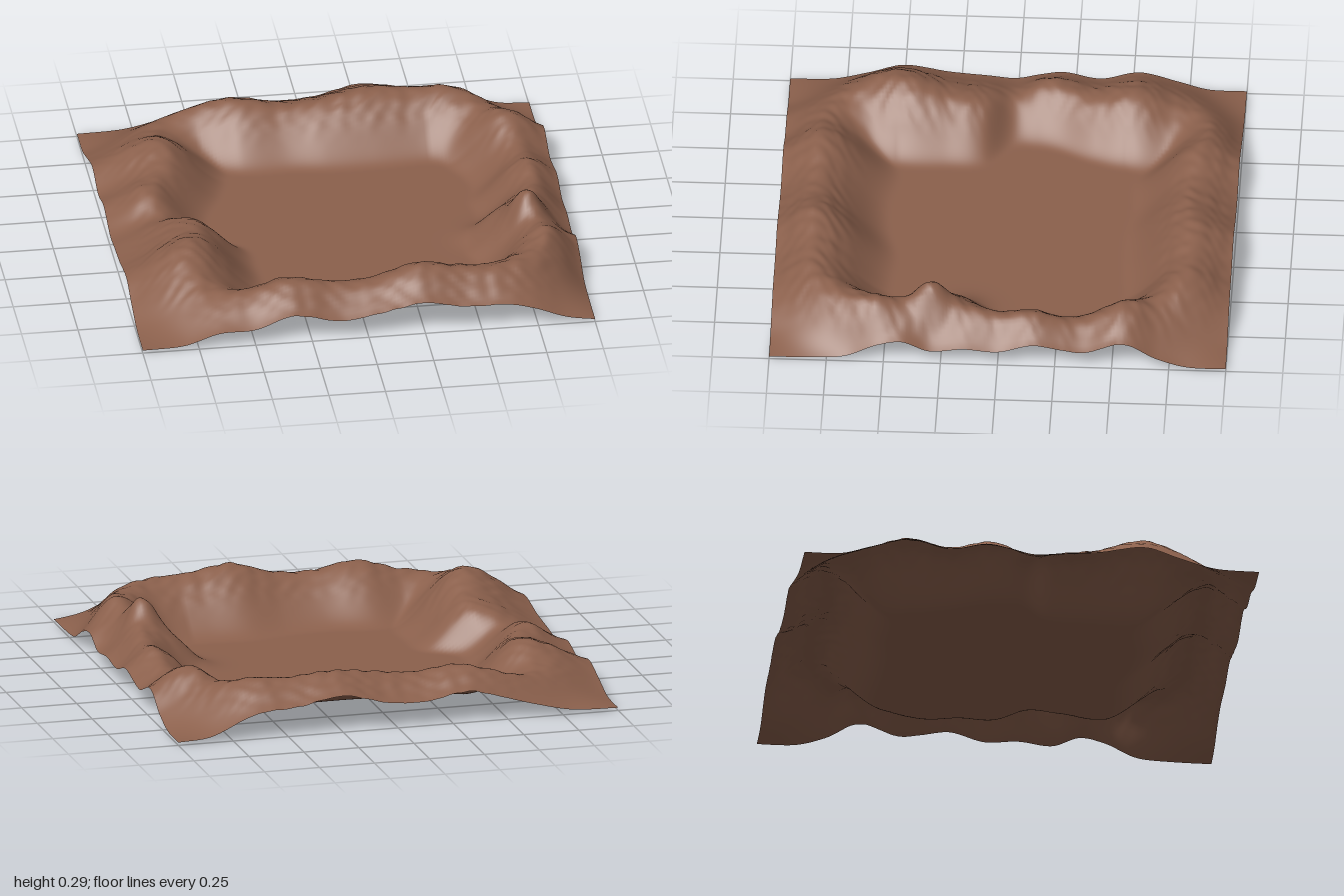
import * as THREE from 'three';

// Rows run along each side: [position, crest distance from edge, crest height, edge height]
const front = [
  [-1, .18, .015, .01], [-.82, .18, .09, .018], [-.66, .18, .145, .068], [-.5, .17, .175, .075],
  [-.33, .17, .22, .13], [-.12, .16, .19, .09], [.05, .16, .20, .115], [.24, .16, .252, .15],
  [.42, .17, .225, .12], [.62, .17, .21, .115], [.74, .18, .185, .085], [.87, .19, .11, .035], [1, .2, .015, .01],
];
const back = [
  [-1, .15, .015, .01], [-.8, .15, .085, .018], [-.62, .14, .14, .06], [-.45, .14, .19, .11],
  [-.32, .17, .215, .14], [-.12, .19, .19, .11], [.05, .2, .205, .12], [.25, .18, .23, .165],
  [.45, .18, .215, .13], [.65, .18, .21, .11], [.85, .18, .1, .025], [1, .18, .015, .01],
];
const right = [
  [-1, .2, .015, .01], [-.85, .19, .075, .01], [-.7, .18, .15, .055], [-.55, .17, .22, .13],
  [-.38, .15, .155, .08], [-.28, .13, .155, .09], [-.15, .13, .19, .11], [0, .13, .175, .07],
  [.15, .16, .195, .08], [.3, .2, .2, .065], [.42, .17, .2, .11], [.53, .15, .23, .09],
  [.67, .16, .19, .025], [.82, .18, .12, .01], [1, .2, .015, .01],
];
const left = [
  [-1, .2, .015, .01], [-.85, .2, .075, .01], [-.7, .25, .145, .055], [-.53, .29, .21, .1],
  [-.36, .28, .175, .06], [-.2, .22, .155, .09], [-.1, .2, .15, .075], [.01, .23, .12, .05],
  [.13, .32, .18, .06], [.3, .32, .205, .075], [.5, .28, .252, .105], [.65, .24, .2, .06],
  [.82, .2, .09, .015], [1, .2, .015, .01],
];

// Knolls standing on the ridges: [x, z, radius, height]
const knolls = [[.8, .3, .08, .09], [.64, .17, .1, .055], [-.82, -.17, .09, .03]];

// Smooth interpolation of one column of a side
function sample(rows, s, col) {
  let i = 0;
  while (i < rows.length - 2 && s > rows[i + 1][0]) i++;
  const slope = (k) => {
    const a = rows[Math.max(k - 1, 0)], b = rows[Math.min(k + 1, rows.length - 1)];
    return (b[col] - a[col]) / (b[0] - a[0]);
  };
  const p = rows[i], q = rows[i + 1], w = q[0] - p[0], t = (s - p[0]) / w, u = 1 - t;
  return p[col] * u * u * (1 + 2 * t) + q[col] * t * t * (3 - 2 * t)
    + w * t * u * (u * slope(i) - t * slope(i + 1));
}

// Height of one ridge: edge, rising to a crest, easing down to the basin over the given reach
function ridge(rows, s, d, reach) {
  // The crest bends inward near its ends, so the ring has round corners
  const bend = Math.max(0, Math.abs(s) - 0.5);
  const crestAt = sample(rows, s, 1) + 0.9 * bend * bend;
  const crest = sample(rows, s, 2), edge = sample(rows, s, 3);
  if (d < crestAt) {
    const t = d / crestAt;
    return Math.max(0, edge + (crest - edge) * (0.4 * t * (2 - t) + 0.6 * t * t * (3 - 2 * t)));
  }
  const t = Math.min(1, (d - crestAt) / (reach + 0.8 * crest + 0.4 * bend));
  return Math.max(0, crest * (1 - t * t * (3 - 2 * t)));
}

// Fine weathering, strongest on high ground
const rough = (x, z) =>
  Math.sin(31 * x + 3 * Math.sin(17 * z)) * Math.sin(37 * z + 2 * Math.sin(23 * x))
  + 0.5 * Math.sin(71 * x + 2 * Math.sin(41 * z)) * Math.sin(63 * z + 1.7);

function height(x, z) {
  const sides = [
    ridge(front, x, 1 - z, 0.17), ridge(back, x, 1 + z, 0.13),
    ridge(right, z, 1 - x, 0.12), ridge(left, z, 1 + x, 0.13),
  ];
  // Rounded union of the four ridges
  let h = Math.cbrt(sides.reduce((sum, v) => sum + v ** 3, 0));
  for (const [kx, kz, r, top] of knolls) h += top * Math.exp(-((x - kx) ** 2 + (z - kz) ** 2) / (r * r));
  return Math.max(0, h + 0.004 * rough(x, z) * THREE.MathUtils.smoothstep(h, 0.06, 0.2));
}

export function createModel() {
  const group = new THREE.Group();
  group.name = 'mountainBasin';

  const earth = new THREE.MeshStandardMaterial({ color: 0x8b604c, side: THREE.DoubleSide });
  earth.name = 'brown earth';

  // Open ground sheet raised into a ring of hills
  const geometry = new THREE.PlaneGeometry(2, 2, 140, 140);
  geometry.rotateX(-Math.PI / 2);
  const pos = geometry.attributes.position;
  for (let i = 0; i < pos.count; i++) pos.setY(i, height(pos.getX(i), pos.getZ(i)));
  geometry.computeVertexNormals();

  const terrain = new THREE.Mesh(geometry, earth);
  terrain.name = 'terrain';
  group.add(terrain);
  return group;
}
